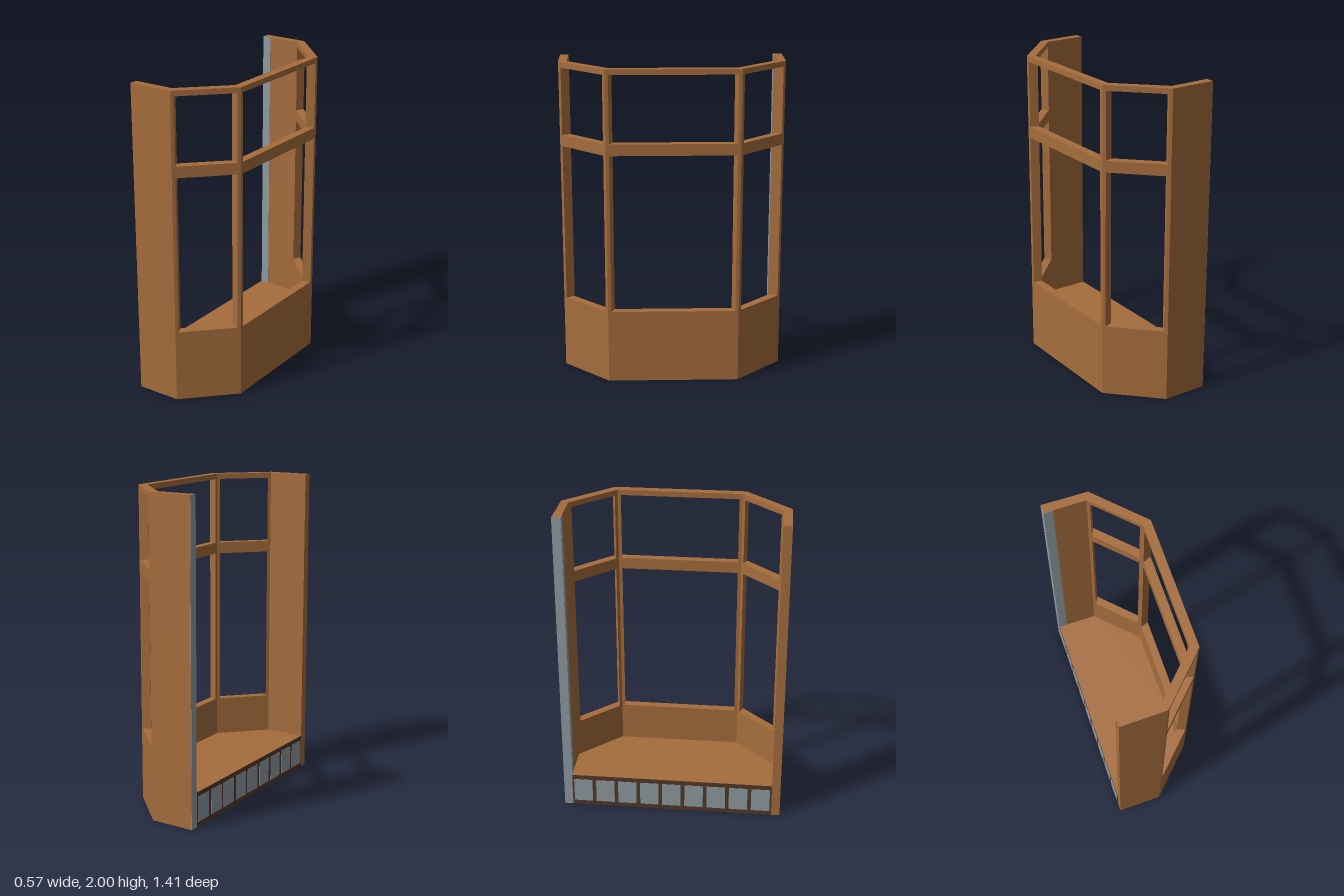
import * as THREE from 'three';

const wood = new THREE.MeshStandardMaterial({ color: 0xa66d3d });
wood.name = 'brown wood';
const grey = new THREE.MeshStandardMaterial({ color: 0x8f9ca3 });
grey.name = 'slate grey';
const dark = new THREE.MeshStandardMaterial({ color: 0x54382a });
dark.name = 'dark brown';

// Plan corners [x, z] of the bay, outside and inside, running from +z to -z
const mirrorZ = (half) => [...half, ...half.map(([x, z]) => [x, -z]).reverse()];
const outer = mirrorZ([[-0.285, 0.705], [0, 0.7], [0.285, 0.41]]);
const inner = mirrorZ([[-0.285, 0.65], [-0.026, 0.65], [0.232, 0.39]]);

// Vertical levels
const FLOOR = 0.22, SILL = 0.468, TRANSOM_LOW = 1.473, TRANSOM_HIGH = 1.545, HEAD = 1.966, TOP = 2;
const JAMB = 0.021;

// Upright prism over a plan outline
function prism(name, plan, y0, y1) {
  const shape = new THREE.Shape(plan.map(([x, z]) => new THREE.Vector2(x, -z)));
  const geo = new THREE.ExtrudeGeometry(shape, { depth: y1 - y0, bevelEnabled: false });
  geo.rotateX(-Math.PI / 2).translate(0, y0, 0);
  const mesh = new THREE.Mesh(geo, wood);
  mesh.name = name;
  return mesh;
}

// Thin plate given by its minimum and maximum corners
function plate(name, min, max, material) {
  const size = max.map((v, i) => v - min[i]);
  const mesh = new THREE.Mesh(new THREE.BoxGeometry(...size), material);
  mesh.position.set(...max.map((v, i) => (v + min[i]) / 2));
  mesh.name = name;
  return mesh;
}

// Point a fixed distance from a towards b
function along(a, b, d) {
  const len = Math.hypot(b[0] - a[0], b[1] - a[1]);
  return [a[0] + (b[0] - a[0]) * d / len, a[1] + (b[1] - a[1]) * d / len];
}

// Wall with a tall lower opening and a short upper light
function windowWall(name, i) {
  const wall = new THREE.Group();
  wall.name = name;
  const [a, b, c, d] = [outer[i], outer[i + 1], inner[i + 1], inner[i]];
  const full = [a, b, c, d];
  wall.add(
    prism('apron', full, FLOOR, SILL),
    prism('transom', full, TRANSOM_LOW, TRANSOM_HIGH),
    prism('headRail', full, HEAD, TOP)
  );
  const jambs = [
    [a, along(a, b, JAMB), along(d, c, JAMB), d],
    [along(b, a, JAMB), b, c, along(c, d, JAMB)]
  ];
  for (const plan of jambs) {
    wall.add(prism('lowerJamb', plan, SILL, TRANSOM_LOW));
    wall.add(prism('upperJamb', plan, TRANSOM_HIGH, HEAD));
  }
  return wall;
}

export function createModel() {
  const model = new THREE.Group();
  model.name = 'bayWindow';

  // Solid floor and the two plain side walls
  model.add(prism('floorBase', outer, 0, FLOOR));
  for (const i of [0, 4]) {
    model.add(prism('sideWall', [outer[i], outer[i + 1], inner[i + 1], inner[i]], FLOOR, TOP));
  }

  // Three glazed sides
  model.add(windowWall('angledWindowLeft', 1));
  model.add(windowWall('mainWindow', 2));
  model.add(windowWall('angledWindowRight', 3));

  // Grey facing on one wall end and its inner edge
  model.add(plate('wallEndFacing', [-0.287, 0, -0.705], [-0.285, TOP, -0.65], grey));
  model.add(plate('innerEdgeFacing', [-0.285, FLOOR, -0.65], [-0.23, TOP, -0.648], grey));

  // Dark strip with a row of grey panels along the open edge of the base
  model.add(plate('baseStrip', [-0.287, 0, -0.65], [-0.285, FLOOR, 0.65], dark));
  const pitch = 1.3 / 9;
  for (let k = 0; k < 9; k++) {
    const z = -0.65 + k * pitch;
    model.add(plate('basePanel', [-0.289, 0.03, z + 0.012], [-0.287, 0.19, z + pitch - 0.012], grey));
  }
  return model;
}
